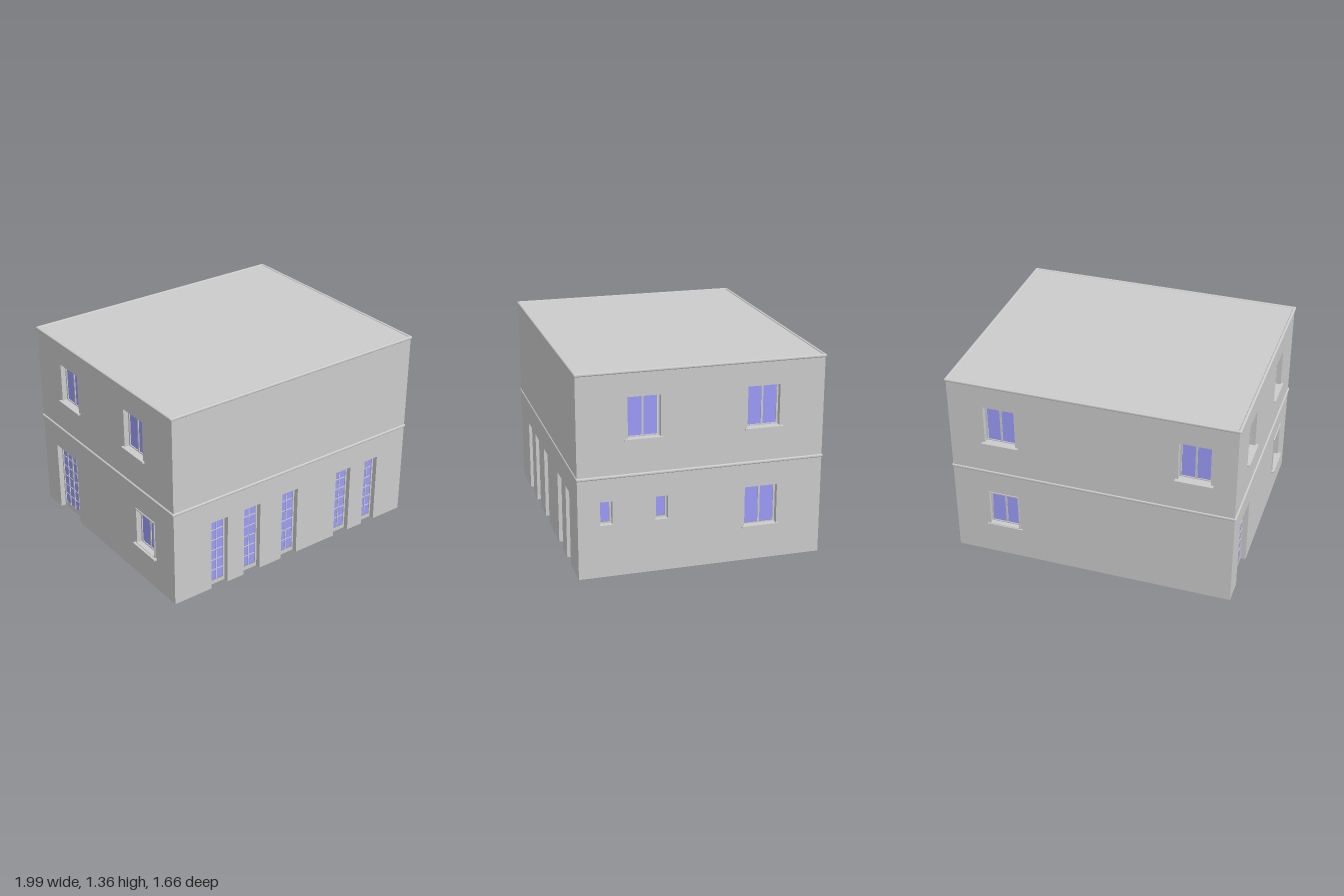
import * as THREE from 'three';
import { RoundedBoxGeometry } from 'three/addons/geometries/RoundedBoxGeometry.js';

const W = 1.946, D = 1.626, H = 1.355, T = 0.055; // footprint, height, wall thickness
const wallMat = new THREE.MeshStandardMaterial({ color: 0xcccccc });
const glassMat = new THREE.MeshStandardMaterial({ color: 0x9c9cfa });

function add(parent, name, geometry, x, y, z, material = wallMat) {
  const mesh = new THREE.Mesh(geometry, material);
  mesh.name = name;
  mesh.position.set(x, y, z);
  parent.add(mesh);
  return mesh;
}

function box(parent, name, w, h, d, x, y, z, material) {
  return add(parent, name, new THREE.BoxGeometry(w, h, d), x, y, z, material);
}

function rectPath(x0, y0, x1, y1) {
  return new THREE.Path([[x0, y0], [x0, y1], [x1, y1], [x1, y0]].map(p => new THREE.Vector2(...p)));
}

// Rectangular ring lying between depths z0 and z1
function ring(parent, name, o, edge, bottomEdge, z0, z1) {
  const shape = new THREE.Shape(rectPath(o.u - o.w / 2, o.y0, o.u + o.w / 2, o.y1).getPoints());
  shape.holes.push(rectPath(o.u - o.w / 2 + edge, o.y0 + bottomEdge, o.u + o.w / 2 - edge, o.y1 - edge));
  add(parent, name, new THREE.ExtrudeGeometry(shape, { depth: z1 - z0, bevelEnabled: false }), 0, 0, z0);
}

// Frame, glass and glazing bars set back in an opening; local +z points outwards
function glazing(parent, o) {
  const edge = 0.012, bottom = o.door ? 0.03 : edge;
  const gw = o.w - 2 * edge, gh = o.y1 - o.y0 - edge - bottom, gy = o.y0 + bottom + gh / 2;
  ring(parent, 'frame', o, edge, bottom, -T, -T + 0.02);
  box(parent, 'glass', gw, gh, 0.006, o.u, gy, -T + 0.01, glassMat);
  for (let i = 1; i < o.cols; i++) {
    const middle = i * 2 === o.cols;
    const barWidth = middle && !o.door ? 0.013 : middle && o.cols > 2 ? 0.014 : 0.006;
    box(parent, 'mullion', barWidth, gh, 0.018, o.u - gw / 2 + gw * i / o.cols, gy, -T + 0.01);
  }
  for (let i = 1; i < o.rows; i++)
    box(parent, 'glazingBar', gw, 0.005, 0.014, o.u, gy - gh / 2 + gh * i / o.rows, -T + 0.01);
  if (o.casing) ring(parent, 'casing', o, 0.008, 0.008, -0.03, o.casing);
  if (o.sill) box(parent, 'sill', 0.252, 0.011, o.sill + 0.04, o.u, o.y0 - 0.001, (o.sill - 0.04) / 2);
}

// A wall with door notches in its lower edge and window holes
function wall(house, name, length, distance, angle, openings) {
  const group = new THREE.Group();
  group.name = name;
  group.rotation.y = angle;
  group.position.set(Math.sin(angle) * distance, 0, Math.cos(angle) * distance);
  house.add(group);

  const shape = new THREE.Shape();
  shape.moveTo(-length / 2, 0);
  for (const o of openings.filter(q => q.door).sort((a, b) => a.u - b.u)) {
    shape.lineTo(o.u - o.w / 2, 0);
    shape.lineTo(o.u - o.w / 2, o.y1);
    shape.lineTo(o.u + o.w / 2, o.y1);
    shape.lineTo(o.u + o.w / 2, 0);
  }
  shape.lineTo(length / 2, 0);
  shape.lineTo(length / 2, H);
  shape.lineTo(-length / 2, H);
  for (const o of openings.filter(q => !q.door))
    shape.holes.push(rectPath(o.u - o.w / 2, o.y0, o.u + o.w / 2, o.y1));
  add(group, name + 'Panel', new THREE.ExtrudeGeometry(shape, { depth: T, bevelEnabled: false }), 0, 0, -T);
  openings.forEach(o => glazing(group, o));
}

const door = (u, w, cols = 2) => ({ u, w, y0: 0, y1: 0.508, door: true, cols, rows: 6 });
const upper = (u, sill) => ({ u, w: 0.215, y0: 0.91, y1: 1.188, cols: 2, rows: 1, sill });
const lower = (u, sill, casing = 0) => ({ u, w: 0.22, y0: 0.235, y1: 0.51, cols: 2, rows: 1, sill, casing });
const small = u => ({ u, w: 0.083, y0: 0.355, y1: 0.513, cols: 1, rows: 1 });

export function createModel() {
  const model = new THREE.Group();
  model.name = 'house';
  const house = new THREE.Group();
  house.name = 'building';
  house.position.z = 0.009;
  model.add(house);

  // Four walls
  const sideLength = D - 2 * T;
  wall(house, 'frontWall', W, D / 2, 0,
    [door(-0.62, 0.13), door(-0.356, 0.132), door(-0.041, 0.132), door(0.425, 0.129), door(0.676, 0.114)]);
  wall(house, 'backWall', W, D / 2, Math.PI,
    [upper(0.70, 0.027), upper(-0.62, 0.02), lower(-0.62, 0.012, 0.005)]);
  wall(house, 'leftWall', sideLength, W / 2, Math.PI / 2,
    [upper(-0.38, 0.012), upper(0.406, 0.024), lower(0.4, 0.012), small(-0.63), small(-0.266)]);
  wall(house, 'rightWall', sideLength, W / 2, -Math.PI / 2,
    [upper(-0.41, 0.02), upper(0.376, 0.016), lower(0.486, 0.024, 0.007), door(-0.508, 0.27, 4)]);

  // Roof and the floor between storeys
  box(house, 'roof', W - 2 * T, 0.03, D - 2 * T, 0, H - 0.015, 0);
  box(house, 'upperFloor', W - 2 * T, 0.02, D - 2 * T, 0, 0.67, 0);

  // Rounded mouldings around the building
  for (const [name, y] of [['cornice', 1.351], ['beltCourse', 0.677]])
    for (const s of [-1, 1]) {
      add(house, name, new RoundedBoxGeometry(W + 0.02, 0.02, 0.02, 3, 0.008), 0, y, s * (D / 2 - 0.003));
      add(house, name, new RoundedBoxGeometry(0.02, 0.02, D + 0.014, 3, 0.008), s * W / 2, y, 0);
    }
  return model;
}
